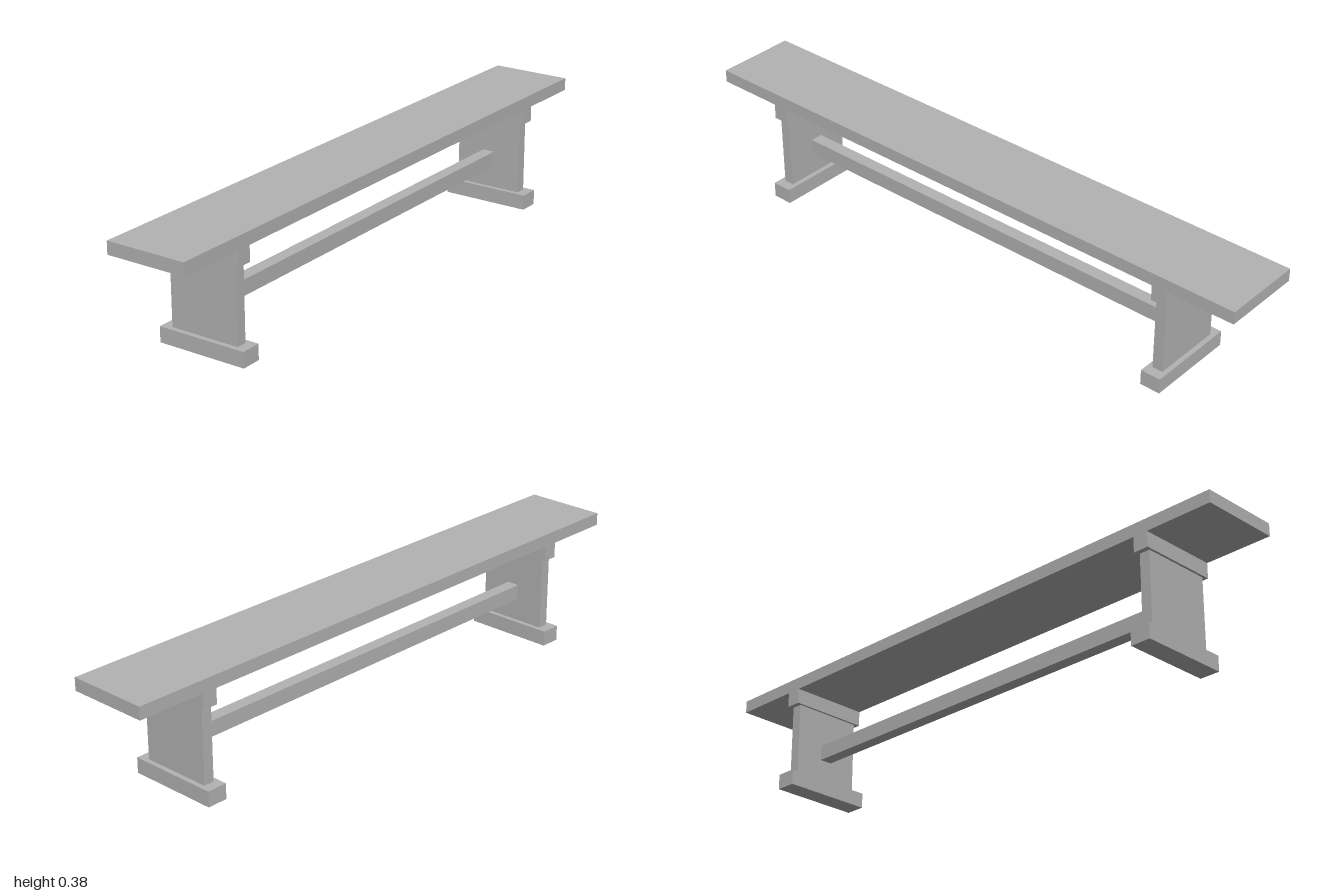
import * as THREE from 'three';

export function createModel() {
  const bench = new THREE.Group();
  bench.name = 'bench';
  const grey = new THREE.MeshStandardMaterial({ color: 0xb2b2b2 });
  grey.name = 'plain grey';

  // Box given by its width, depth and bottom/top heights
  function addBox(parent, name, width, depth, bottom, top) {
    const mesh = new THREE.Mesh(new THREE.BoxGeometry(width, top - bottom, depth), grey);
    mesh.name = name;
    mesh.position.y = (bottom + top) / 2;
    parent.add(mesh);
  }

  addBox(bench, 'seat', 2, 0.267, 0.343, 0.384);
  addBox(bench, 'stretcher', 1.466, 0.042, 0.125, 0.175);

  // Trestle supports, mirrored at both ends
  for (const side of [-1, 1]) {
    const support = new THREE.Group();
    support.name = side > 0 ? 'leftSupport' : 'rightSupport';
    support.position.x = side * 0.75;
    addBox(support, 'foot', 0.067, 0.3, 0, 0.05);
    addBox(support, 'leg', 0.035, 0.234, 0.05, 0.293);
    addBox(support, 'cap', 0.05, 0.267, 0.293, 0.343);
    bench.add(support);
  }
  return bench;
}
